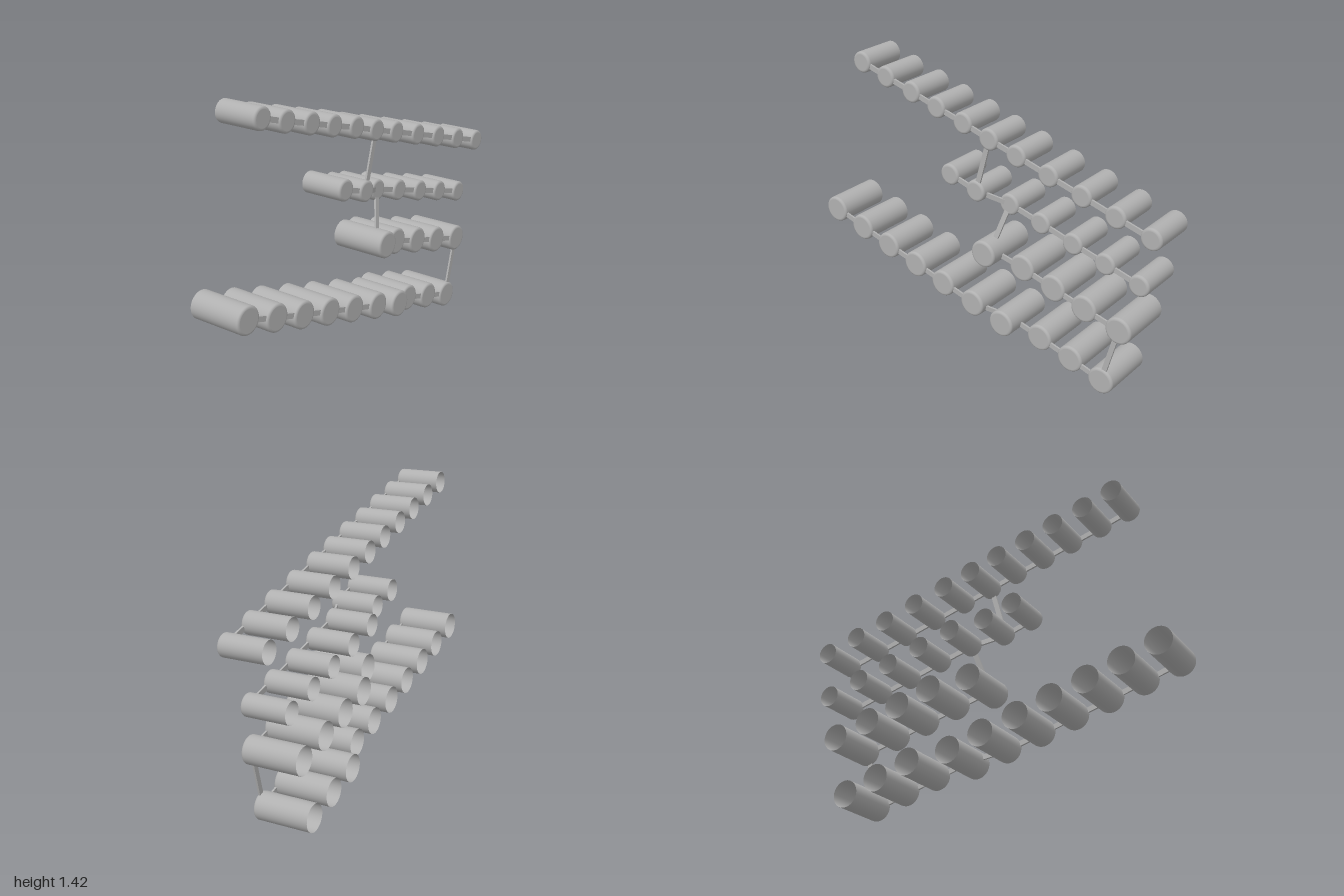
import * as THREE from 'three';

const grey = new THREE.MeshStandardMaterial({ color: 0xb0b0b0, side: THREE.DoubleSide });
grey.name = 'grey';

// Open-backed cup: closed rounded face at z = 0, open end at z = -length
function cupGeometry(radius, length) {
  const c = 0.012;
  const points = [new THREE.Vector2(radius, -length), new THREE.Vector2(radius, -c - 0.001)];
  for (let i = 0; i <= 4; i++) {
    const a = (i / 4) * Math.PI / 2;
    points.push(new THREE.Vector2(radius - c + c * Math.cos(a), -c + c * Math.sin(a)));
  }
  points.push(new THREE.Vector2(radius - c - 0.001, 0), new THREE.Vector2(0, 0));
  return new THREE.LatheGeometry(points, 40).rotateX(Math.PI / 2);
}

// Flat bar joining two points, its broad side facing the front
function bar(a, b) {
  const mesh = new THREE.Mesh(new THREE.BoxGeometry(0.026, 0.01, a.distanceTo(b)), grey);
  mesh.name = 'connectingBar';
  mesh.up.set(0, 0, 1);
  mesh.position.copy(a).lerp(b, 0.5);
  mesh.lookAt(b);
  return mesh;
}

export function createModel() {
  const model = new THREE.Group();
  model.name = 'cupRows';
  const small = cupGeometry(0.0545, 0.23);
  const large = cupGeometry(0.069, 0.287);

  // Each cup: x, y, front z, bar z
  const row = (name, geometry, cups) => {
    const group = new THREE.Group();
    group.name = name;
    const joints = cups.map(([x, y, , z]) => new THREE.Vector3(x, y, z));
    cups.forEach(([x, y, front], i) => {
      const cup = new THREE.Mesh(geometry, grey);
      cup.name = 'cup';
      cup.position.set(x, y, front);
      group.add(cup);
      if (i > 0) group.add(bar(joints[i - 1], joints[i]));
    });
    model.add(group);
    return joints;
  };

  const top = row('topRow', small, [
    [-0.745, 1.37], [-0.59, 1.326], [-0.425, 1.283], [-0.268, 1.24], [-0.105, 1.198], [0.05, 1.153],
    [0.21, 1.11], [0.392, 1.06], [0.575, 1.01], [0.757, 0.96], [0.942, 0.91],
  ].map(([x, y]) => [x, y, 0.12, 0.107]));

  const second = row('secondRow', small, [
    [-0.188, 0.91], [-0.03, 0.865], [0.133, 0.82], [0.315, 0.773], [0.5, 0.722], [0.68, 0.675], [0.865, 0.625],
  ].map(([x, y], i) => (i < 2 ? [x, y, 0.12, 0.107] : [x, y, 0.064, 0.05])));

  const third = row('thirdRow', large, [
    [0.062, 0.575], [0.242, 0.525], [0.423, 0.476], [0.602, 0.428], [0.795, 0.38],
  ].map(([x, y], i) => [x, y, i < 1 ? 0.18 : 0.106, i < 1 ? 0.11 : 0.094]));

  const bottom = row('bottomRow', large, [
    [-0.931, 0.525], [-0.748, 0.472], [-0.566, 0.421], [-0.381, 0.371], [-0.199, 0.322],
    [-0.01, 0.272], [0.172, 0.221], [0.353, 0.172], [0.535, 0.122], [0.713, 0.07],
  ].map(([x, y], i) => [x, y, i < 7 ? 0.18 : 0.106, i < 6 ? 0.165 : 0.094]));

  // Links between rows
  const links = new THREE.Group();
  links.name = 'rowLinks';
  links.add(bar(top[5], second[1]), bar(second[2], third[0]), bar(third[4], bottom[9]));
  model.add(links);
  return model;
}
